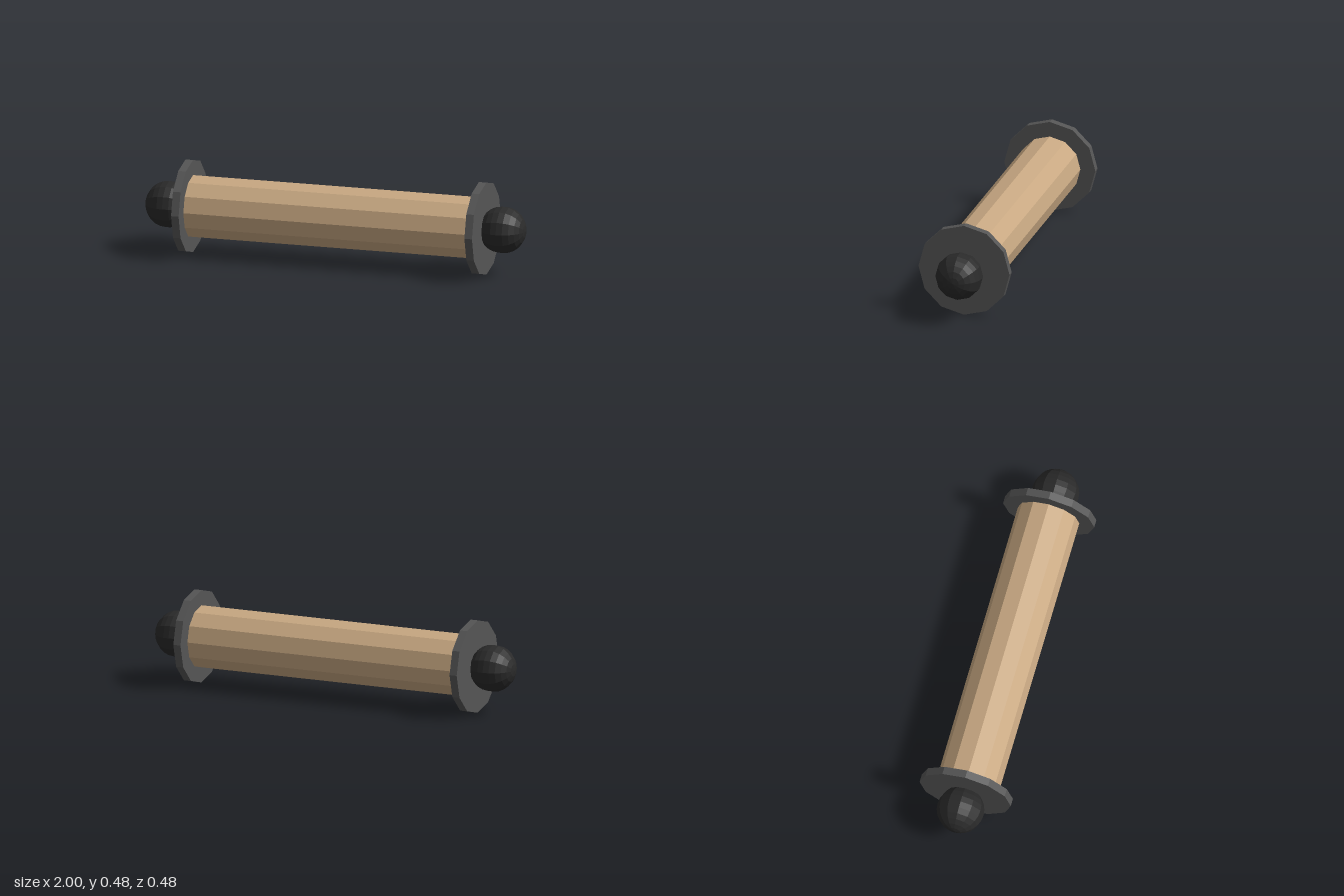
import * as THREE from 'three';

const SIDES = 12;
const AXIS_Y = 0.24;

const wood = new THREE.MeshStandardMaterial({ color: 0xc8a882 });
wood.name = 'tan wood';
const plate = new THREE.MeshStandardMaterial({ color: 0x555555 });
plate.name = 'grey plate';
const knobBlack = new THREE.MeshStandardMaterial({ color: 0x2a2a2a });
knobBlack.name = 'black knob';

// Lays a geometry along x and gives it faceted normals
function faceted(geometry) {
  const g = geometry.rotateZ(-Math.PI / 2).toNonIndexed();
  g.computeVertexNormals();
  return g;
}

function addPart(group, name, geometry, material, x) {
  const mesh = new THREE.Mesh(faceted(geometry), material);
  mesh.name = name;
  mesh.position.set(x, AXIS_Y, 0);
  group.add(mesh);
}

export function createModel() {
  const model = new THREE.Group();
  model.name = 'roller';

  // Long central bar
  addPart(model, 'bar', new THREE.CylinderGeometry(0.16, 0.16, 1.52, SIDES), wood, 0);

  // End plate and ball knob on each side
  for (const [side, s] of [['left', 1], ['right', -1]]) {
    addPart(model, side + 'EndPlate',
      new THREE.CylinderGeometry(0.238, 0.238, 0.04, SIDES), plate, s * 0.774);
    addPart(model, side + 'Knob',
      new THREE.SphereGeometry(0.12, SIDES, SIDES), knobBlack, s * 0.88);
  }
  return model;
}
